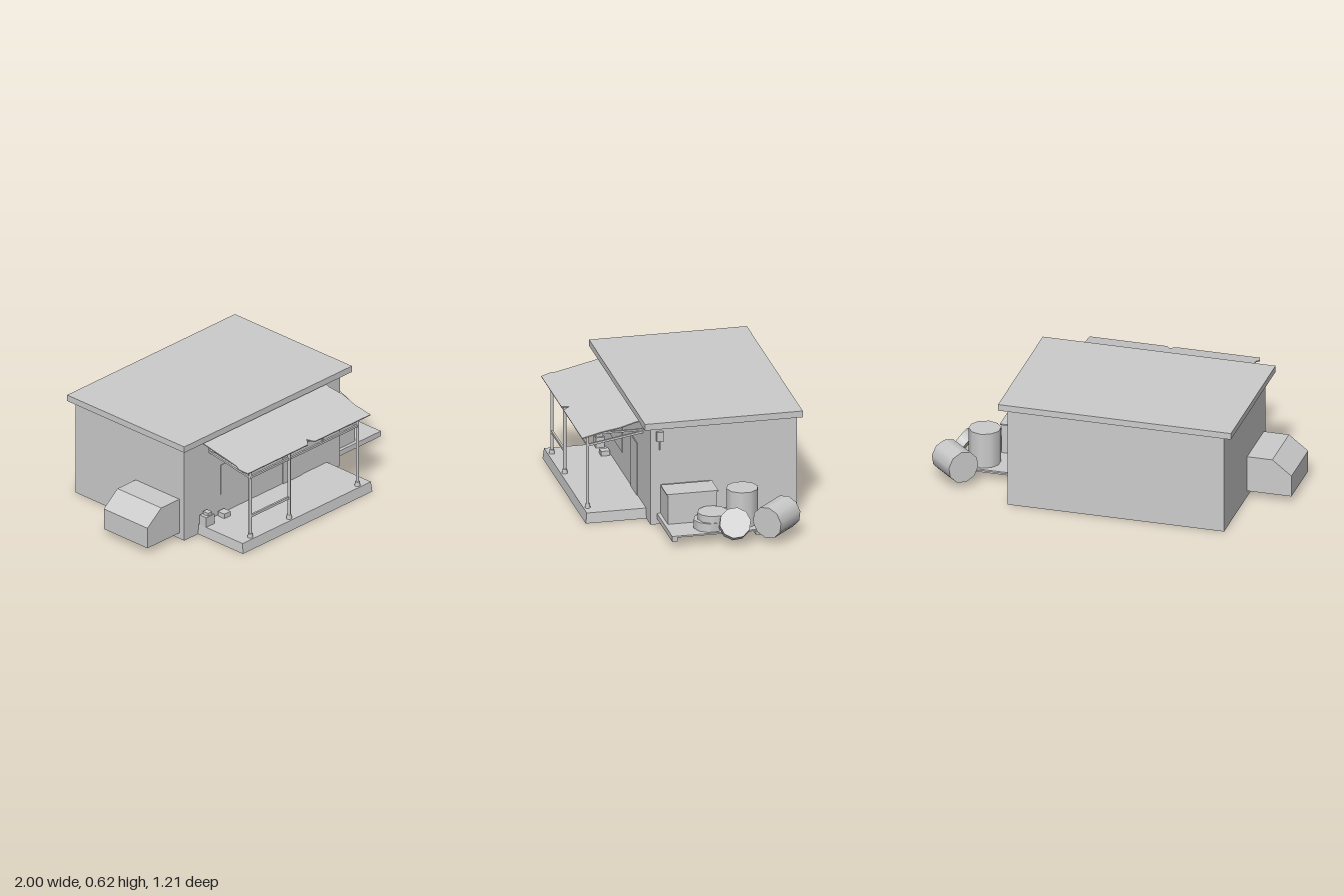
import * as THREE from 'three';

const grey = new THREE.MeshStandardMaterial({ color: 0xcccccc, side: THREE.DoubleSide });
grey.name = 'plain grey';

export function createModel() {
  const group = new THREE.Group();

  const add = (name, geometry, x = 0, y = 0, z = 0) => {
    const mesh = new THREE.Mesh(geometry, grey);
    mesh.name = name;
    mesh.position.set(x, y, z);
    group.add(mesh);
    return mesh;
  };

  // Box from its lowest and highest corners
  const boxGeo = (a, b) => new THREE.BoxGeometry(b[0] - a[0], b[1] - a[1], b[2] - a[2])
    .translate((a[0] + b[0]) / 2, (a[1] + b[1]) / 2, (a[2] + b[2]) / 2);
  const box = (name, a, b) => add(name, boxGeo(a, b));

  // Drops the faces whose normal points along one of the given directions
  const without = (geometry, ...dirs) => {
    const g = geometry.index ? geometry.toNonIndexed() : geometry;
    const p = g.attributes.position;
    const kept = [];
    const t = new THREE.Triangle();
    const n = new THREE.Vector3();
    for (let i = 0; i < p.count; i += 3) {
      t.setFromAttributeAndIndices(p, i, i + 1, i + 2).getNormal(n);
      if (dirs.some((d) => n.dot(d) > 0.95)) continue;
      for (const v of [t.a, t.b, t.c]) kept.push(v.x, v.y, v.z);
    }
    const out = new THREE.BufferGeometry();
    out.setAttribute('position', new THREE.Float32BufferAttribute(kept, 3));
    out.computeVertexNormals();
    return out;
  };
  const down = new THREE.Vector3(0, -1, 0);
  const inward = new THREE.Vector3(1, 0, 0);

  // Straight bar between two points
  const bar = (name, a, b, w, h) => {
    const from = new THREE.Vector3(...a);
    const to = new THREE.Vector3(...b);
    const mesh = add(name, new THREE.BoxGeometry(w, h, from.distanceTo(to)));
    mesh.position.copy(from).lerp(to, 0.5);
    mesh.lookAt(to);
    return mesh;
  };

  // Cylinder about a centre, along any axis
  const drum = (name, centre, radius, length, axis = [0, 1, 0]) => {
    const mesh = add(name, new THREE.CylinderGeometry(radius, radius, length, 10), ...centre);
    mesh.quaternion.setFromUnitVectors(new THREE.Vector3(0, 1, 0), new THREE.Vector3(...axis).normalize());
    return mesh;
  };

  // House shell, open underneath, with a flat roof slab
  add('houseWalls', without(boxGeo([-0.745, 0, -0.587], [0.5, 0.58, 0.247]), down));
  box('flatRoof', [-0.79, 0.58, -0.607], [0.55, 0.617, 0.29]);
  box('door', [0.04, 0.06, 0.244], [0.195, 0.367, 0.252]);
  box('windowPanel', [-0.455, 0.18, 0.244], [-0.165, 0.363, 0.251]);

  // Porch floor, flared a little at the foot
  const floor = boxGeo([-0.63, 0, 0.247], [0.395, 0.06, 0.584]);
  const fp = floor.attributes.position;
  for (let i = 0; i < fp.count; i++) {
    if (fp.getY(i) > 0.01) continue;
    if (fp.getZ(i) > 0.4) fp.setZ(i, 0.591);
    fp.setX(i, fp.getX(i) + Math.sign(fp.getX(i)) * 0.005);
  }
  add('porchFloor', without(floor, down));

  // Sloping porch roof sheet with torn edges: outline in x and distance from the wall
  const sheet = new THREE.Shape([
    [-0.62, 0], [0.37, 0], [0.36, 0.05], [0.375, 0.15], [0.362, 0.25], [0.37, 0.366],
    [-0.072, 0.366], [-0.09, 0.345], [-0.1, 0.325], [-0.112, 0.345], [-0.13, 0.366],
    [-0.61, 0.366], [-0.625, 0.31], [-0.612, 0.28],
  ].map(([x, y]) => new THREE.Vector2(x, y)));
  const sheetMesh = add('porchRoof',
    new THREE.ExtrudeGeometry(sheet, { depth: 0.006, bevelEnabled: false }), 0, 0.573, 0.247);
  sheetMesh.rotation.x = Math.PI / 2 + Math.atan2(0.077, 0.358);

  // Porch posts with feet, and the rafters running back to the wall
  for (const x of [-0.543, -0.233, 0.313]) {
    add('porchPost', new THREE.CylinderGeometry(0.009, 0.009, 0.44, 8), x, 0.28, 0.56);
    add('postFoot', new THREE.CylinderGeometry(0.013, 0.016, 0.025, 8), x, 0.0725, 0.56);
    bar('upperRafter', [x, 0.495, 0.247], [x, 0.495, 0.56], 0.012, 0.01);
    bar('lowerRafter', [x, 0.482, 0.247], [x, 0.43, 0.56], 0.012, 0.012);
    bar('roofRafter', [x, 0.556, 0.247], [x, 0.489, 0.56], 0.012, 0.012);
  }
  box('upperFrontBeam', [-0.555, 0.482, 0.553], [0.325, 0.495, 0.567]);
  box('lowerFrontBeam', [-0.55, 0.427, 0.554], [0.32, 0.44, 0.566]);
  box('beamStrut', [0.03, 0.435, 0.555], [0.042, 0.487, 0.565]);
  box('porchRail', [-0.543, 0.183, 0.554], [-0.233, 0.198, 0.566]);

  // Small crates on the porch
  box('crate', [-0.63, 0.06, 0.255], [-0.565, 0.12, 0.305]);
  box('crateTop', [-0.61, 0.12, 0.262], [-0.578, 0.138, 0.3]);
  box('smallCrate', [-0.485, 0.06, 0.255], [-0.435, 0.088, 0.305]);

  // Lean-to bunker with a sloping outer face on the right wall
  const side = new THREE.Shape([[-0.745, 0.035], [-0.745, 0.245], [-0.89, 0.245], [-1, 0.16], [-1, 0.035]]
    .map(([x, y]) => new THREE.Vector2(x, y)));
  add('sideBunker', without(
    new THREE.ExtrudeGeometry(side, { depth: 0.335, bevelEnabled: false }), down, inward), 0, 0, -0.125);

  // Wall lamp on the left wall
  box('lampBox', [0.5, 0.495, 0.175], [0.52, 0.55, 0.215]);
  box('lampStem', [0.502, 0.44, 0.192], [0.508, 0.495, 0.198]);

  // Pallet with two runners
  box('palletDeck', [0.5, 0.055, -0.325], [0.865, 0.064, 0.21]);
  for (const z of [0.18, -0.295]) box('palletRunner', [0.5, 0.032, z], [0.865, 0.055, z + 0.03]);

  // Chest with a lid
  box('chest', [0.505, 0.064, -0.088], [0.678, 0.236, 0.19]);
  box('chestLid', [0.53, 0.236, -0.096], [0.685, 0.243, 0.197]);

  // Drums on and around the pallet
  drum('uprightDrum', [0.737, 0.167, -0.218], 0.09, 0.206);
  drum('lowerShortDrum', [0.767, 0.09, -0.025], 0.09, 0.05);
  drum('upperShortDrum', [0.767, 0.135, -0.043], 0.086, 0.04);
  drum('leaningShortDrum', [0.892, 0.118, -0.14], 0.088, 0.055, [0.82, 0.53, 0.12]);
  drum('lyingDrum', [0.861, 0.126, -0.385], 0.093, 0.2, [0.7, -0.03, 0.72]);

  return group;
}
